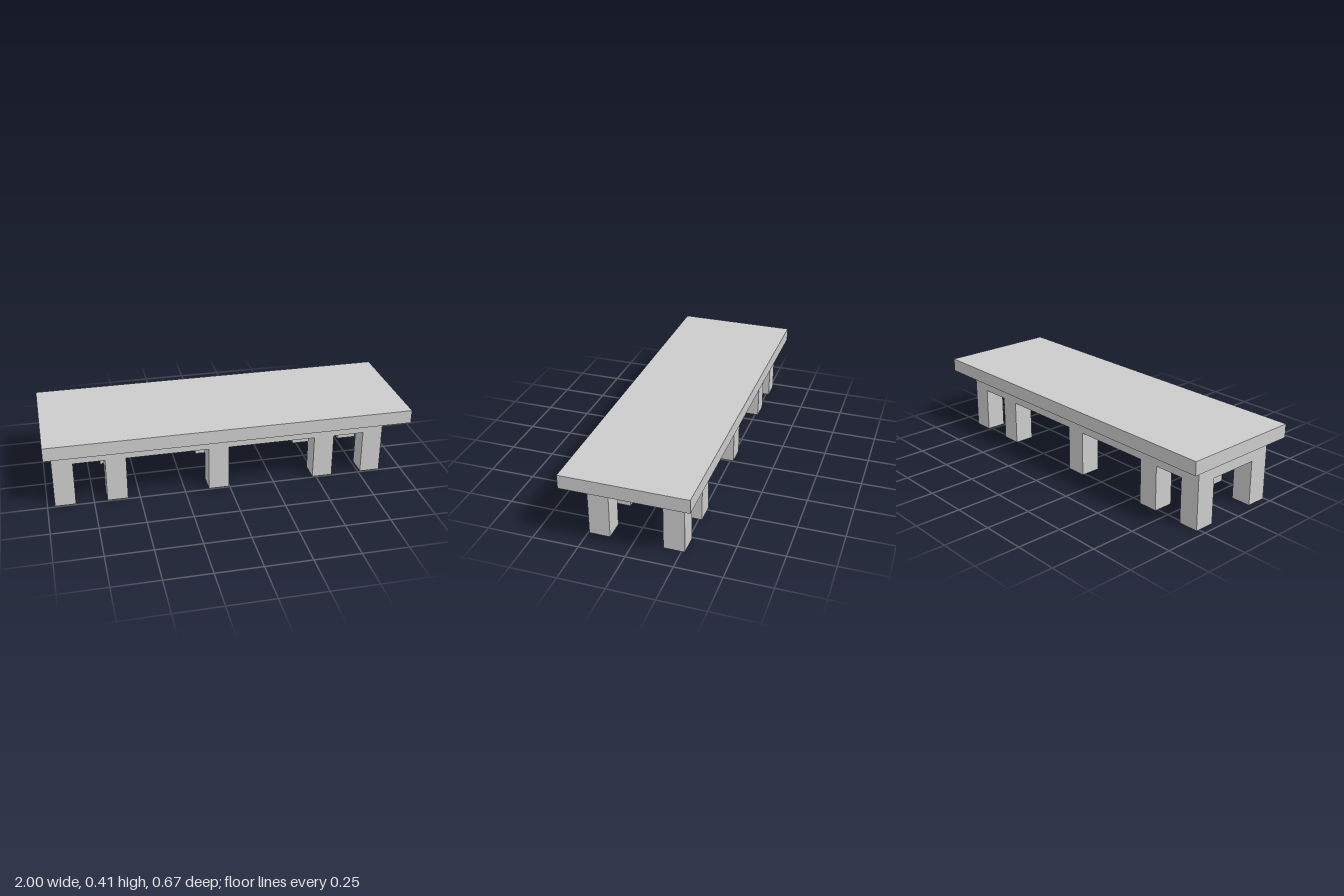
import * as THREE from 'three';

export function createModel() {
  const model = new THREE.Group();
  model.name = 'longTable';
  const material = new THREE.MeshStandardMaterial({ color: 0xcccccc, flatShading: true });

  // Box given by its minimum and maximum on each axis
  function addBox(name, [x0, x1], [y0, y1], [z0, z1]) {
    const mesh = new THREE.Mesh(new THREE.BoxGeometry(x1 - x0, y1 - y0, z1 - z0), material);
    mesh.position.set((x0 + x1) / 2, (y0 + y1) / 2, (z0 + z1) / 2);
    mesh.name = name;
    model.add(mesh);
  }

  const topBottom = 0.333;
  const apronBottom = 0.249;

  addBox('tabletop', [-1, 1], [topBottom, 0.408], [-0.336, 0.336]);

  // Solid block under the top, flush with the outer leg faces
  addBox('apron', [-0.96, 0.875], [apronBottom, topBottom], [-0.267, 0.243]);

  // Five pairs of square legs
  const legWidth = 0.112;
  const rows = { front: [0.13, 0.243], back: [-0.267, -0.155] };
  for (const [row, z] of Object.entries(rows)) {
    [-0.96, -0.678, -0.117, 0.48, 0.763].forEach((x, i) => {
      addBox(`${row}Leg${i + 1}`, [x, x + legWidth], [0, apronBottom], z);
    });
  }
  return model;
}
